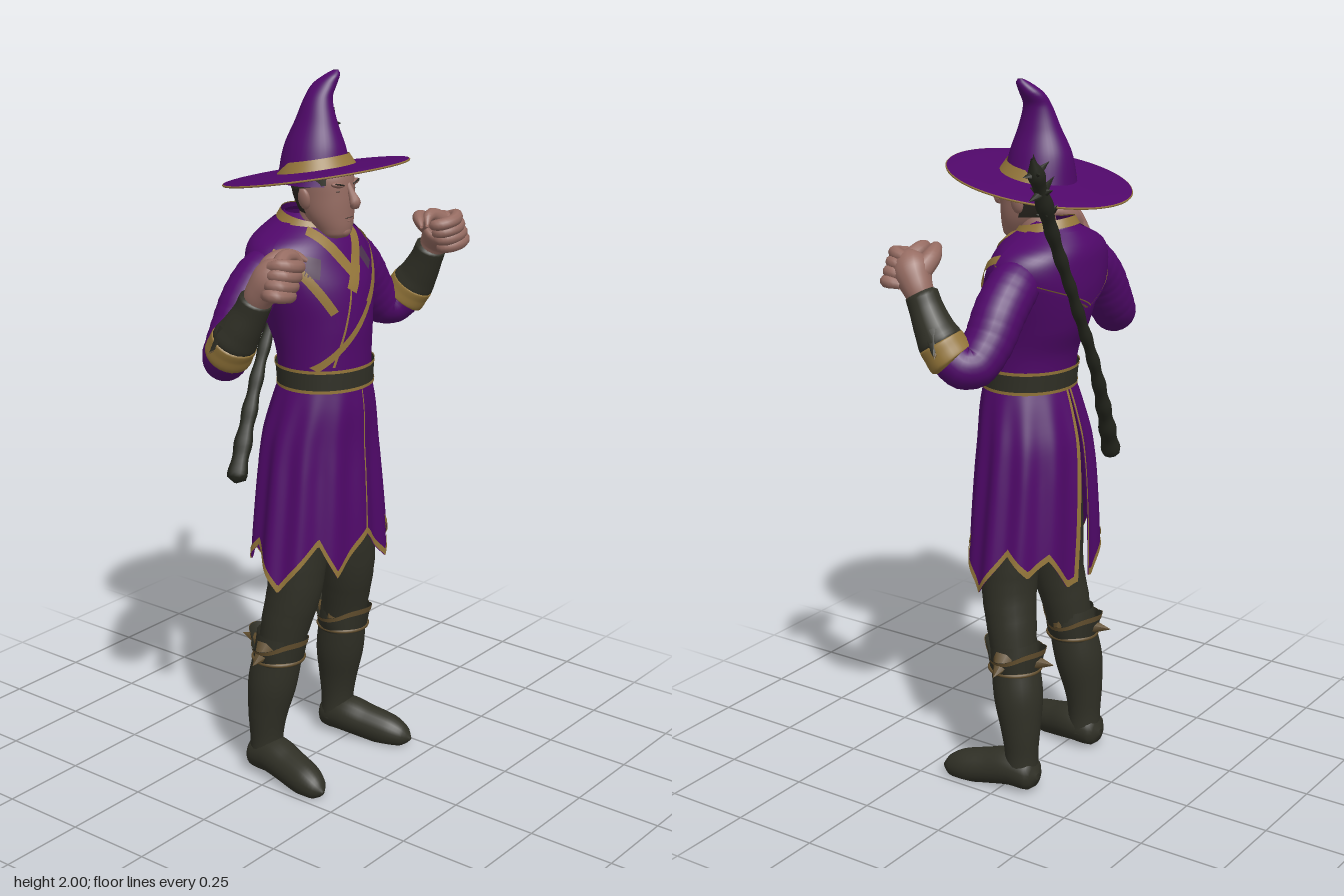
import * as THREE from 'three';
import { mergeVertices } from 'three/addons/utils/BufferGeometryUtils.js';

const mat = (name, color) => {
  const m = new THREE.MeshStandardMaterial({ color, side: THREE.DoubleSide });
  m.name = name;
  return m;
};
const PI = Math.PI, { sin, cos, abs } = Math;
const lerp = THREE.MathUtils.lerp, clamp = THREE.MathUtils.clamp;

// Smoothly interpolate a table of rows [y, rx, rz, cz, cx], listed from top to bottom
function at(t, y) {
  let i = 0;
  while (i < t.length - 2 && y < t[i + 1][0]) i++;
  const a = t[i], b = t[i + 1], p = t[i - 1] ?? a, q = t[i + 2] ?? b, h = b[0] - a[0];
  const k = clamp((y - a[0]) / h, 0, 1), k2 = k * k, k3 = k2 * k;
  return a.map((_, j) => {
    const d0 = (b[j] - p[j]) / (b[0] - p[0]) * h, d1 = (q[j] - a[j]) / (q[0] - a[0]) * h;
    return (2 * k3 - 3 * k2 + 1) * a[j] + (k3 - 2 * k2 + k) * d0 + (3 * k2 - 2 * k3) * b[j] + (k3 - k2) * d1;
  });
}
// Point on an elliptical body: angle 0 faces the front
function surf(t, a, y, off = 0) {
  const [, rx, rz, cz, cx = 0] = at(t, y);
  return [cx + sin(a) * (rx + off), y, cz + cos(a) * (rz + off)];
}
// Sheet from a rule; u runs around, v runs downwards
function grid(fn, nu, nv) {
  const pos = [], idx = [], n = nu + 1;
  for (let j = 0; j <= nv; j++) for (let i = 0; i <= nu; i++) pos.push(...fn(i / nu, j / nv));
  for (let j = 0; j < nv; j++) for (let i = 0; i < nu; i++) {
    const k = j * n + i;
    idx.push(k, k + n, k + 1, k + 1, k + n, k + n + 1);
  }
  let g = new THREE.BufferGeometry();
  g.setAttribute('position', new THREE.Float32BufferAttribute(pos, 3));
  g.setIndex(idx);
  g = mergeVertices(g, 1e-5);
  g.computeVertexNormals();
  return g;
}
const loft = (t, nv, nu) => grid((u, v) => surf(t, u * 2 * PI, lerp(t[0][0], t[t.length - 1][0], v)), nu, nv);

// Tube of changing radius through points [x, y, z, r]
function limb(pts, seg = 28, sides = 16, bump = 0) {
  const curve = new THREE.CatmullRomCurve3(pts.map(p => new THREE.Vector3(p[0], p[1], p[2])));
  const radii = new THREE.CatmullRomCurve3(pts.map((p, i) => new THREE.Vector3(p[3], i, 0)));
  let g = new THREE.TubeGeometry(curve, seg, 1, sides);
  const P = g.attributes.position, N = g.attributes.normal, c = new THREE.Vector3(), n = new THREE.Vector3();
  for (let i = 0; i < P.count; i++) {
    const u = Math.floor(i / (sides + 1)) / seg;
    curve.getPointAt(u, c);
    const r = Math.max(0.001, radii.getPoint(curve.getUtoTmapping(u)).x) * (1 + bump * sin(u * 75));
    n.fromBufferAttribute(N, i).multiplyScalar(r).add(c);
    P.setXYZ(i, n.x, n.y, n.z);
  }
  g.deleteAttribute('uv');
  g.deleteAttribute('normal');
  g = mergeVertices(g, 1e-5);
  g.computeVertexNormals();
  return g;
}

const TORSO = [[1.625, .05, .05, -.045], [1.6, .092, .088, -.04], [1.56, .172, .12, -.035], [1.51, .197, .136, -.025],
  [1.44, .18, .15, -.008], [1.34, .152, .145, .01], [1.26, .139, .128, .026], [1.15, .133, .12, .033]];
const SKIRT = [[1.18, .133, .12, .033], [1.1, .157, .137, .025], [1, .182, .148, .014], [.8, .213, .158, .013], [.58, .243, .16, .015]];
const HEAD = [[1.765, .066, .076, .02], [1.73, .075, .085, .025], [1.68, .073, .085, .029], [1.63, .066, .071, .042],
  [1.59, .05, .052, .058], [1.57, .036, .032, .068], [1.562, .004, .004, .07]];
const CONE = [[2, .006, .008, .023, .054], [1.99, .018, .02, .019, .047], [1.965, .029, .034, .004, .032], [1.93, .034, .04, -.002, .012],
  [1.87, .05, .06, -.003, .003], [1.8, .076, .088, -.005, 0], [1.71, .1, .102, -.004, 0]];
// Hem height by angle from the front, in degrees
const HEM = [[0, .74], [27, .635], [43, .735], [78, .6], [108, .72], [128, .655], [145, .7], [165, .6], [180, .62]];
function hem(a) {
  const d = abs(a) * 180 / PI;
  let i = 0;
  while (i < HEM.length - 2 && d > HEM[i + 1][0]) i++;
  return lerp(HEM[i][1], HEM[i + 1][1], (d - HEM[i][0]) / (HEM[i + 1][0] - HEM[i][0]));
}
function skirtAt(a, y, off = 0) {
  const fold = .006 * clamp((1.18 - y) * 4, 0, 1) * cos(a * 12);
  return surf(SKIRT, a, y, off + fold);
}
// Ribbon laid on the robe front from one [x, y] to another
function ribbon([x0, y0], [x1, y1], w, off = .004) {
  const l = Math.hypot(x1 - x0, y1 - y0), nx = -(y1 - y0) / l, ny = (x1 - x0) / l;
  return grid((u, v) => {
    const x = lerp(x0, x1, v) + nx * (u - .5) * w, y = lerp(y0, y1, v) + ny * (u - .5) * w;
    return surf(TORSO, Math.asin(clamp(x / at(TORSO, y)[1], -1, 1)), y, off);
  }, 4, 24);
}

export function createModel() {
  const root = new THREE.Group();
  const purple = mat('purple cloth', 0x50086a), gold = mat('gold trim', 0x94763a), olive = mat('olive leather', 0x303026),
    skin = mat('skin', 0x966c62), wood = mat('dark wood', 0x25271e), hairC = mat('hair', 0x2a2620),
    brown = mat('brown leather', 0x64502f), patchC = mat('worn patch', 0x4d3350);
  const add = (name, geo, m, parent = root) => {
    const o = new THREE.Mesh(geo, m);
    o.name = name;
    parent.add(o);
    return o;
  };
  const ball = (name, m, [x, y, z], [sx, sy, sz], rz = 0) => {
    const o = add(name, new THREE.SphereGeometry(1, 18, 12), m);
    o.position.set(x, y, z);
    o.scale.set(sx, sy, sz);
    o.rotation.z = rz;
  };
  const spike = (name, m, from, to, r) => {
    const a = new THREE.Vector3(...from), d = new THREE.Vector3(...to).sub(a);
    const o = add(name, new THREE.ConeGeometry(r, d.length(), 6), m);
    o.position.copy(a).addScaledVector(d, .5);
    o.quaternion.setFromUnitVectors(new THREE.Vector3(0, 1, 0), d.normalize());
  };

  // Hat: tilted brim, band open at the back, bent cone
  const brim = new THREE.Group();
  brim.name = 'hatBrim';
  brim.position.y = 1.73;
  brim.rotation.x = -.18;
  root.add(brim);
  const disc = [[.07, 0], [.12, .003], [.2, .003], [.251, 0], [.251, .006], [.2, .01], [.12, .012], [.09, .016]];
  add('brim', new THREE.LatheGeometry(disc.map(p => new THREE.Vector2(...p)), 64), purple, brim);
  add('brimEdge', new THREE.TorusGeometry(.251, .003, 6, 72).rotateX(PI / 2).translate(0, .003, 0), gold, brim);
  add('hatBand', grid((u, v) => {
    const a = (u * 2 - 1) * 2.15, h = .03 * Math.min(1, (1 - abs(u * 2 - 1)) * 4 + .15), r = lerp(.11 - h * .5, .11, v);
    return [sin(a) * r, .012 + h * (1 - v), cos(a) * r];
  }, 48, 2), gold, brim);
  add('hatLining', new THREE.CylinderGeometry(.086, .084, .035, 40, 1, true).translate(0, -.012, .016), olive, brim);
  add('hatCone', loft(CONE, 40, 40), purple);

  // Head, hair and face
  add('head', loft(HEAD, 30, 36), skin);
  add('neck', limb([[0, 1.48, -.03, .055], [0, 1.56, -.005, .055], [0, 1.65, .02, .054]], 10, 24), skin);
  add('hair', grid((u, v) => surf(HEAD, lerp(.58 * PI, 1.42 * PI, u), lerp(1.76, 1.635, v), .006), 24, 12), hairC);
  add('nose', limb([[0, 1.715, .106, .007], [0, 1.69, .12, .01], [0, 1.664, .131, .016], [0, 1.652, .12, .005]], 12, 10), skin);
  ball('mouth', hairC, [0, 1.624, .107], [.02, .003, .006]);
  ball('lowerLip', skin, [0, 1.615, .105], [.018, .006, .008]);
  ball('chin', skin, [0, 1.586, .097], [.022, .016, .014]);
  for (const s of [1, -1]) {
    ball('brow', skin, [s * .03, 1.713, .098], [.028, .008, .013], s * .2);
    ball('eyebrow', hairC, [s * .031, 1.715, .105], [.022, .003, .007], s * .25);
    ball('eye', hairC, [s * .029, 1.697, .1], [.012, .003, .005]);
    ball('ear', skin, [s * .077, 1.675, .02], [.011, .03, .019], -s * .2);
  }

  // Robe top with collar, lapels, seams and shoulder cape
  add('robeTop', loft(TORSO, 40, 64), purple);
  const collarAt = (u, y, r) => {
    const a = lerp(.15 * PI, 1.85 * PI, u);
    return [sin(a) * r, lerp(1.602, 1.636, (1 - cos(a)) / 2) - y, -.025 + cos(a) * r];
  };
  add('collar', grid((u, v) => collarAt(u, v * .055, lerp(.076, .102, v)), 32, 4), purple);
  add('collarEdge', grid((u, v) => collarAt(u, v * .022 - .003, lerp(.076, .089, v)), 32, 2), gold);
  add('leftLapel', ribbon([.08, 1.592], [-.03, 1.435], .034, .006), gold);
  add('rightLapel', ribbon([-.078, 1.592], [-.005, 1.475], .032, .005), gold);
  add('rightSeam', ribbon([-.183, 1.55], [-.085, 1.38], .022), gold);
  add('chestStrap', ribbon([.185, 1.55], [.03, 1.39], .024, .006), gold);
  add('lowerStrap', ribbon([.04, 1.395], [-.12, 1.225], .017, .005), gold);
  add('wrapEdge', ribbon([-.03, 1.44], [-.085, 1.23], .006), gold);
  add('leftPatch', ribbon([.06, 1.525], [.085, 1.48], .035), patchC);
  add('rightPatch', ribbon([-.11, 1.53], [-.13, 1.48], .035), patchC);
  const capeA = u => lerp(.42 * PI, 1.58 * PI, u);
  const capeHem = a => 1.395 + .125 * Math.pow(abs(a - PI) / (.58 * PI), .8);
  add('shoulderCape', grid((u, v) => surf(TORSO, capeA(u), lerp(1.605, capeHem(capeA(u)), v), .004 + .01 * v), 48, 12), purple);
  add('capeEdge', grid((u, v) => surf(TORSO, capeA(u), capeHem(capeA(u)) + .012 * (1 - v), .015 - .015 * v * v), 48, 4), gold);

  // Belt
  const beltRing = (y0, y1, off) => grid((u, v) => surf(TORSO, u * 2 * PI, lerp(y0, y1, v), off), 48, 2);
  add('belt', beltRing(1.22, 1.16, .007), olive);
  add('beltTopEdge', beltRing(1.223, 1.214, .009), gold);
  add('beltBottomEdge', beltRing(1.167, 1.158, .009), gold);

  // Skirt with a pointed hem and an open slit behind
  const gap = v => .02 + .09 * v;
  add('skirt', grid((u, v) => {
    const a = (u * 2 - 1) * (PI - gap(v));
    return skirtAt(a, lerp(1.18, hem(a), v));
  }, 180, 24), purple);
  add('skirtHem', grid((u, v) => {
    const a = (u * 2 - 1) * (PI - gap(1));
    return skirtAt(a, hem(a) + .021 * (1 - v), .003);
  }, 180, 2), gold);
  add('frontSeam', grid((u, v) => skirtAt((u - .5) * .025, lerp(1.16, .74, v), .003), 2, 20), gold);
  for (const s of [1, -1]) {
    add('slitEdge', grid((u, v) => skirtAt(s * (PI - gap(v) - .06 * u), lerp(1.17, .61, v), .003), 2, 24), gold);
  }

  for (const s of [1, -1]) {
    const L = (pts, ...r) => limb(pts.map(([x, y, z, w]) => [s * x, y, z, w]), ...r);

    // Trousers and boots
    add('trouserLeg', L([[.07, 1.08, .02, .07], [.085, .9, .02, .085], [.108, .72, .022, .086], [.122, .58, .02, .078],
      [.138, .47, 0, .07], [.148, .38, -.015, .062]], 30, 24, .008), olive);
    add('bootShaft', L([[.148, .44, -.012, .067], [.15, .37, -.02, .069], [.158, .28, -.035, .07], [.165, .18, -.047, .056],
      [.166, .11, -.05, .048], [.166, .05, -.05, .05]], 26, 24), olive);
    const foot = L([[.168, .05, -.108, .01], [.168, .05, -.09, .044], [.17, .06, -.02, .055], [.182, .048, .05, .052],
      [.198, .034, .125, .047], [.207, .025, .17, .03], [.21, .022, .192, .004]], 30, 20);
    const P = foot.attributes.position;
    for (let i = 0; i < P.count; i++) P.setY(i, Math.max(0, P.getY(i)));
    foot.computeVertexNormals();
    add('bootFoot', foot, olive);
    // Knee cuff with flared points and strap
    const cuff = (u, v, off) => {
      const a = u * 2 * PI, k = Math.pow(cos(2 * a), 2), r = lerp(.078 + .018 * k, .071, v) + off;
      return [s * .148 + sin(a) * r, lerp(.41 + .03 * cos(a) ** 2, .355, v), -.018 + cos(a) * r];
    };
    add('kneeCuff', grid((u, v) => cuff(u, v, 0), 48, 4), olive);
    add('kneeCuffEdge', grid((u, v) => cuff(u, v * .22, .002), 48, 2), brown);
    add('kneeStrap', new THREE.TorusGeometry(.072, .006, 8, 32).rotateX(PI / 2).translate(s * .149, .365, -.018), brown);
    spike('kneePoint', brown, [s * .205, .405, -.018], [s * .262, .372, -.02], .034);
    spike('kneePoint', brown, [s * .1, .405, -.01], [s * .068, .378, -.005], .03);
    spike('kneePoint', brown, [s * .15, .395, -.08], [s * .15, .4, -.15], .024);

    // Sleeve, gold cuff and bracer
    add('sleeve', L([[.12, 1.5, -.04, .05], [.17, 1.483, -.04, .068], [.24, 1.425, -.04, .071], [.3, 1.345, -.038, .067],
      [.35, 1.297, -.025, .062], [.378, 1.302, 0, .058], [.389, 1.335, .027, .05]], 36, 24, .012), purple);
    add('sleeveCuff', L([[.385, 1.315, .013, .05], [.386, 1.317, .015, .063], [.39, 1.34, .03, .063],
      [.393, 1.362, .045, .061], [.393, 1.364, .046, .045]], 16, 24), gold);
    add('bracer', L([[.392, 1.35, .038, .035], [.393, 1.357, .042, .06], [.392, 1.39, .064, .054], [.387, 1.44, .093, .046],
      [.384, 1.48, .112, .043], [.384, 1.483, .114, .03]], 20, 20), olive);
    spike('bracerPoint', olive, [s * .42, 1.385, .045], [s * .462, 1.34, .018], .032);
    spike('bracerTrim', brown, [s * .425, 1.362, .035], [s * .463, 1.334, .014], .02);

    // Hand with curled fingers
    add('palm', L([[.384, 1.465, .108, .036], [.383, 1.495, .125, .042], [.37, 1.53, .15, .052], [.352, 1.555, .165, .042],
      [.335, 1.565, .17, .006]], 20, 20), skin);
    for (let k = 0; k < 4; k++) {
      const y = 1.57 - .023 * k, x = .012 * k;
      add('finger', L([[.39 + x * .5, y, .16, .014], [.385 + x, y + .006, .192, .018], [.355 + x, y, .207, .018],
        [.315 + x, y - .008, .195, .017], [.305 + x, y - .012, .172, .014], [.318 + x, y - .014, .16, .003]], 18, 10), skin);
    }
    add('thumb', L([[.37, 1.53, .125, .03], [.33, 1.562, .118, .026], [.298, 1.577, .128, .019], [.27, 1.575, .148, .014],
      [.252, 1.562, .17, .005]], 16, 12), skin);
    add('indexFinger', L([[.36, 1.565, .165, .022], [.325, 1.582, .155, .02], [.295, 1.58, .16, .015], [.275, 1.562, .172, .005]], 14, 10), skin);
  }

  // Staff slung across the back, with thorny head
  const top = [.3, 1.82, -.187], low = [-.25, .9, -.085];
  const along = (k, r, dz = 0) => [...top.map((c, i) => lerp(low[i], c, k) + (i === 2 ? dz : 0)), r];
  add('staff', limb([along(0, .004), along(.012, .025), along(.15, .022, -.012), along(.35, .017, -.022), along(.6, .016, -.012),
    along(.8, .018), along(.9, .022), along(.95, .018), along(.99, .021), along(1.03, .004)], 90, 10, .1), wood);
  for (const [k, turn, len] of [[.86, .8, .038], [.925, 0, .06], [.985, .5, .046]]) {
    for (let i = 0; i < 4; i++) {
      const a = turn + i * PI / 2, p = along(k, 0).slice(0, 3);
      spike('staffThorn', wood, p, [p[0] + cos(a) * len, p[1] + .012 - .4 * len * cos(a), p[2] + sin(a) * len * .6], .016);
    }
  }
  spike('staffTip', wood, along(.98, 0).slice(0, 3), [.315, 1.862, -.192], .015);
  return root;
}
